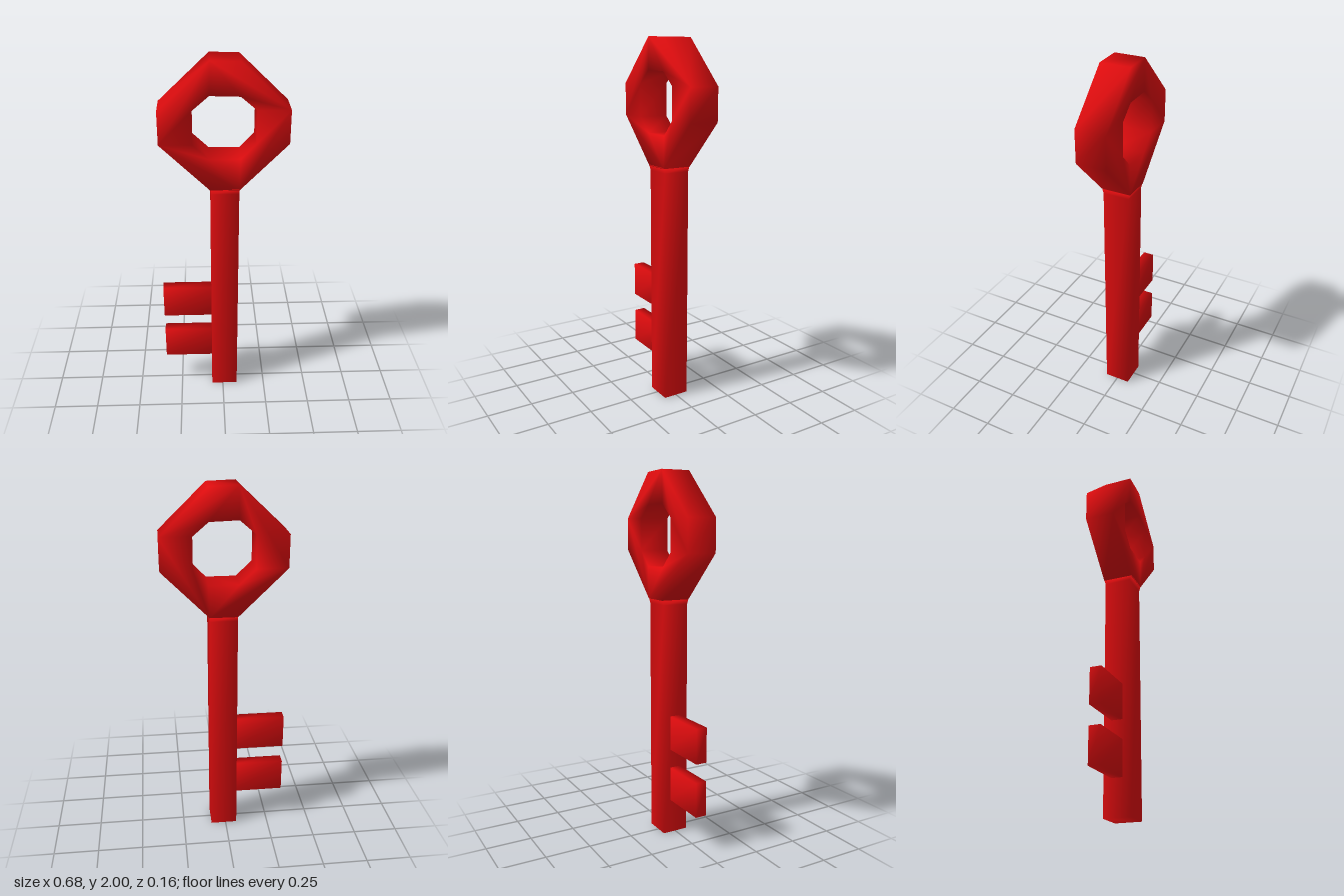
import * as THREE from 'three';
import { mergeVertices } from 'three/addons/utils/BufferGeometryUtils.js';

const red = new THREE.MeshStandardMaterial({ color: 0xdd0c0e, side: THREE.DoubleSide });

// Weld corners so normals blend softly across the edges
function smoothMesh(name, geometry) {
  geometry.deleteAttribute('normal');
  geometry.deleteAttribute('uv');
  const welded = mergeVertices(geometry, 1e-4);
  welded.computeVertexNormals();
  const mesh = new THREE.Mesh(welded, red);
  mesh.name = name;
  return mesh;
}

const points = (list) => list.map(([x, y]) => new THREE.Vector2(x, y));

export function createModel() {
  const key = new THREE.Group();
  key.name = 'key';

  // Octagonal bow with an octagonal opening
  const outline = new THREE.Shape(points([
    [-0.065, 1.325], [0.085, 1.325], [0.335, 1.58], [0.335, 1.755],
    [0.085, 1.995], [-0.065, 2.0], [-0.325, 1.755], [-0.325, 1.58],
  ]));
  outline.holes.push(new THREE.Path(points([
    [-0.07, 1.5], [-0.155, 1.58], [-0.155, 1.755], [-0.068, 1.83],
    [0.085, 1.825], [0.167, 1.755], [0.167, 1.58], [0.09, 1.5],
  ])));
  const bow = new THREE.ExtrudeGeometry(outline, { depth: 0.163, bevelEnabled: false });
  bow.translate(0, 0, -0.082);
  key.add(smoothMesh('bow', bow));

  // Square shaft, flaring slightly where it joins the bow
  const shaft = new THREE.BoxGeometry(0.15, 2, 0.146, 1, 2, 1);
  const p = shaft.attributes.position;
  for (let i = 0; i < p.count; i++) {
    const row = Math.round(p.getY(i)) + 1;
    p.setY(i, [0, 1.3, 1.33][row]);
    if (row === 2) p.setZ(i, p.getZ(i) * 1.12);
  }
  shaft.translate(0.01, 0, 0);
  key.add(smoothMesh('shaft', shaft));

  // Two flat teeth on the right side
  for (const [name, y] of [['lowerTooth', 0.29], ['upperTooth', 0.587]]) {
    const tooth = new THREE.BoxGeometry(0.29, 0.192, 0.062);
    tooth.translate(-0.195, y, -0.001);
    key.add(smoothMesh(name, tooth));
  }
  return key;
}
